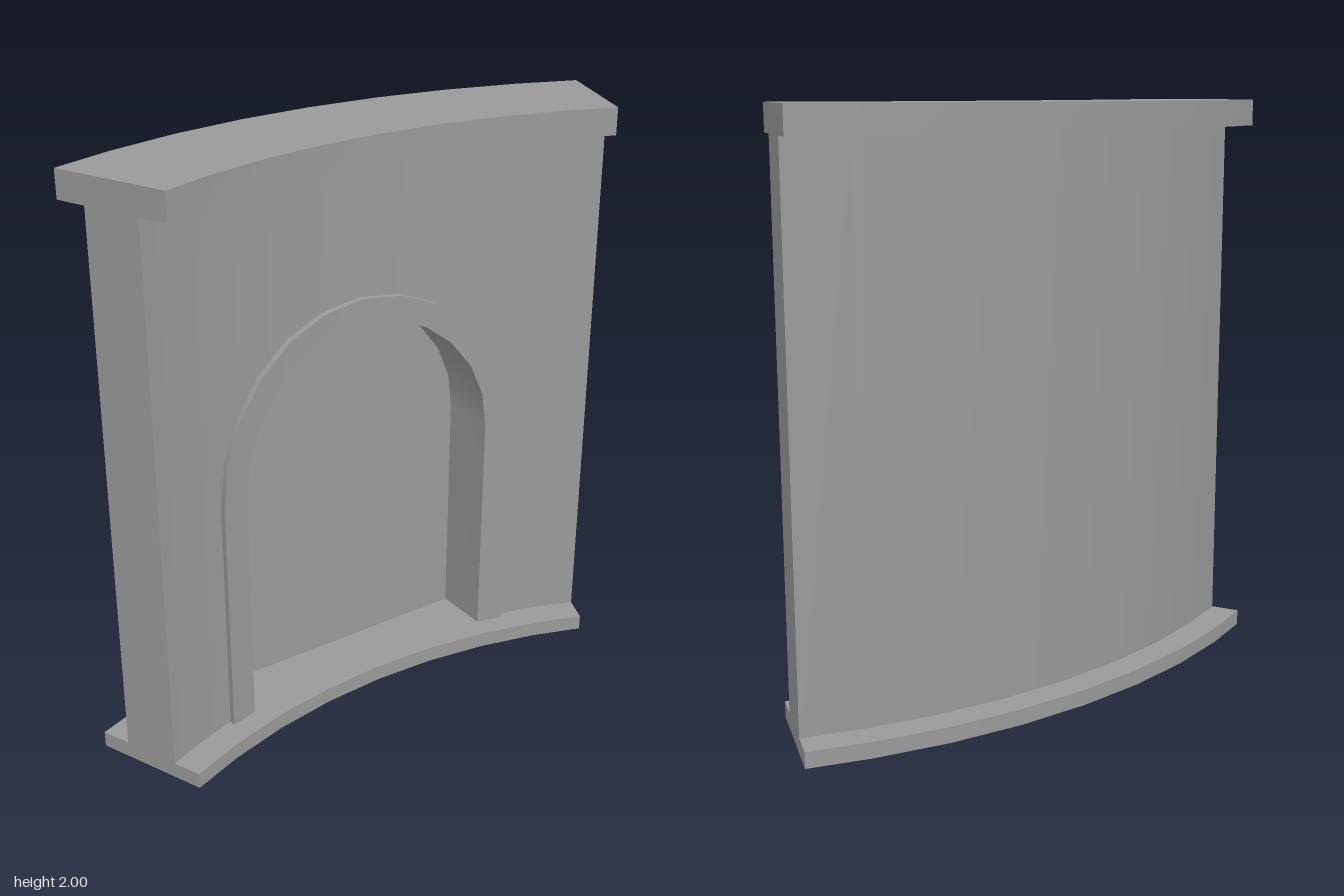
import * as THREE from 'three';
import { toCreasedNormals } from 'three/addons/utils/BufferGeometryUtils.js';

const CENTRE_Z = 2.268;          // axis of the curved wall
const HALF_ANGLE = Math.PI / 8;  // half of the swept angle
const STEP = 0.102;              // angle of one segment, the end ones are shorter
const BASE_TOP = 0.055, CAP_BOTTOM = 1.908, FOOT = 0.03;
const SLAB_FRONT = 2.148, SLAB_BACK = 2.552;
const WALL_FRONT = 2.249, WALL_BACK = 2.448, TRIM_FRONT = 2.226;
const NICHE_X = -0.0125, NICHE_Z = -0.105, SPRING_Y = 0.88;

const material = new THREE.MeshStandardMaterial({ color: 0x999999, side: THREE.DoubleSide });

// depth of a curved surface of radius r at x
const depth = (r, x) => CENTRE_Z - Math.sqrt(r * r - x * x);

// points along an arc in plan, from -x to +x
function arc(r, y) {
  return Array.from({ length: 9 }, (_, i) => {
    const a = THREE.MathUtils.clamp(STEP * (i - 4), -HALF_ANGLE, HALF_ANGLE);
    return new THREE.Vector3(r * Math.sin(a), y, CENTRE_Z - r * Math.cos(a));
  });
}

// surface between two polylines with the same number of points
function ribbon(a, b) {
  const index = [];
  const n = a.length;
  for (let i = 0; i < n - 1; i++) index.push(i, i + 1, n + i + 1, i, n + i + 1, n + i);
  const geometry = new THREE.BufferGeometry().setFromPoints([...a, ...b]);
  geometry.setIndex(index);
  geometry.computeVertexNormals();
  return geometry;
}

const atHeight = (points, y) => points.map(p => new THREE.Vector3(p.x, y, p.z));
const wallTo = (points) => ribbon(points, atHeight(points, CAP_BOTTOM));

// round-headed arch from the left foot over to the right foot
function arch(halfWidth, rise) {
  const points = [new THREE.Vector2(NICHE_X - halfWidth, FOOT)];
  for (let i = 0; i <= 12; i++) {
    const a = Math.PI * (1 - i / 12);
    points.push(new THREE.Vector2(NICHE_X + halfWidth * Math.cos(a), SPRING_Y + rise * Math.sin(a)));
  }
  points.push(new THREE.Vector2(NICHE_X + halfWidth, FOOT));
  return points;
}
const onCurve = (points, r) => points.map(p => new THREE.Vector3(p.x, p.y, depth(r, p.x)));

function part(name, ...geometries) {
  const group = new THREE.Group();
  group.name = name;
  geometries.forEach((geometry, i) => {
    const mesh = new THREE.Mesh(geometry, material);
    mesh.name = `${name}Surface${i + 1}`;
    group.add(mesh);
  });
  return group;
}

// curved slab; the underside is optional
function slab(name, y0, y1, underside) {
  const outline = [...arc(SLAB_FRONT, y0), ...arc(SLAB_BACK, y0).reverse()];
  const loop = [...outline, outline[0]];
  const face = (sign, y) => new THREE.ShapeGeometry(
    new THREE.Shape(outline.map(p => new THREE.Vector2(p.x, sign * p.z)))
  ).rotateX(sign * Math.PI / 2).translate(0, y, 0);
  const faces = [toCreasedNormals(ribbon(loop, atHeight(loop, y1)), 0.5), face(-1, y1)];
  if (underside) faces.push(face(1, y0));
  return part(name, ...faces);
}

export function createModel() {
  const model = new THREE.Group();
  model.name = 'curvedWallWithNiche';

  // base is hollow underneath, coping is solid
  model.add(slab('base', 0, BASE_TOP, false), slab('coping', CAP_BOTTOM, 2, true));

  // wall front runs around the niche opening
  const inner = arch(0.489, 0.478), outer = arch(0.586, 0.562);
  const endX = WALL_FRONT * Math.sin(HALF_ANGLE);
  const flank = (from, to) => [0, 1, 2, 3].map(i =>
    new THREE.Vector2(THREE.MathUtils.lerp(from, to, i / 4), FOOT));
  const lowerEdge = [
    ...flank(-endX, inner[0].x),
    ...inner,
    ...flank(endX, inner.at(-1).x).reverse(),
  ];
  const back = arc(WALL_BACK, FOOT).reverse();
  const front = arc(WALL_FRONT, FOOT);
  model.add(part('wall',
    wallTo(onCurve(lowerEdge, WALL_FRONT)),
    wallTo(back),
    wallTo([front.at(-1), back[0]]),
    wallTo([back.at(-1), front[0]])));

  // raised trim around the opening
  const trimInner = onCurve(inner, TRIM_FRONT), trimOuter = onCurve(outer, TRIM_FRONT);
  model.add(part('archTrim',
    ribbon(trimInner, trimOuter),
    ribbon(trimOuter, onCurve(outer, WALL_FRONT))));

  // niche lining and its flat back
  const nicheEdge = inner.map(p => new THREE.Vector3(p.x, p.y, NICHE_Z));
  model.add(part('niche',
    ribbon(nicheEdge, trimInner),
    new THREE.ShapeGeometry(new THREE.Shape(inner)).translate(0, 0, NICHE_Z)));

  return model;
}
